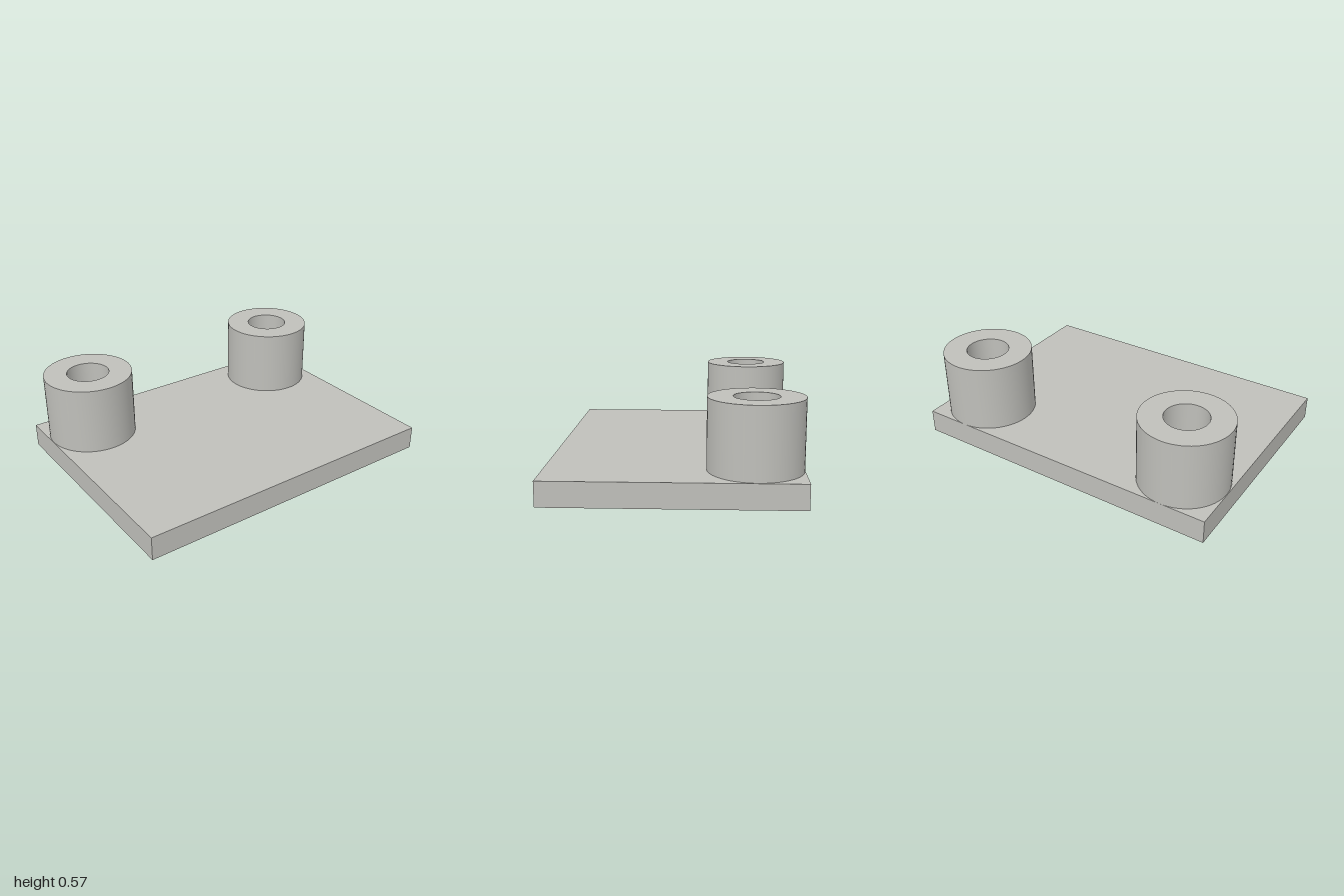
import * as THREE from 'three';
import { toCreasedNormals } from 'three/addons/utils/BufferGeometryUtils.js';

const HALF_W = 1, HALF_D = 0.74, PLATE_H = 0.148, TOP = 0.568;
const BOSS_R = 0.277, HOLE_R = 0.132, BOSS_Z = -0.463, SEGMENTS = 64;
const BOSSES = [
  { name: 'leftBoss', x: 0.716 },
  { name: 'rightBoss', x: -0.72 },
];

export function createModel() {
  const group = new THREE.Group();
  const grey = new THREE.MeshStandardMaterial({ color: 0xbfbfba });
  grey.name = 'warm grey';

  const add = (name, geometry, x = 0, y = 0, z = 0) => {
    const mesh = new THREE.Mesh(toCreasedNormals(geometry, 0.6), grey);
    mesh.name = name;
    mesh.position.set(x, y, z);
    group.add(mesh);
  };

  // Base plate with a through hole under each boss
  const outline = new THREE.Shape([
    new THREE.Vector2(-HALF_W, -HALF_D),
    new THREE.Vector2(HALF_W, -HALF_D),
    new THREE.Vector2(HALF_W, HALF_D),
    new THREE.Vector2(-HALF_W, HALF_D),
  ]);
  for (const { x } of BOSSES) {
    outline.holes.push(new THREE.Path().absarc(x, -BOSS_Z, HOLE_R, 0, Math.PI * 2, true));
  }
  const plate = new THREE.ExtrudeGeometry(outline, {
    depth: PLATE_H, bevelEnabled: false, curveSegments: SEGMENTS / 2,
  });
  plate.rotateX(-Math.PI / 2);
  add('basePlate', plate);

  // Hollow bosses: outer wall, top ring and bore
  const h = TOP - PLATE_H;
  const profile = [[BOSS_R, 0], [BOSS_R, h], [HOLE_R, h], [HOLE_R, 0]]
    .map(([r, y]) => new THREE.Vector2(r, y));
  for (const { name, x } of BOSSES) {
    add(name, new THREE.LatheGeometry(profile, SEGMENTS), x, PLATE_H, BOSS_Z);
  }
  return group;
}
